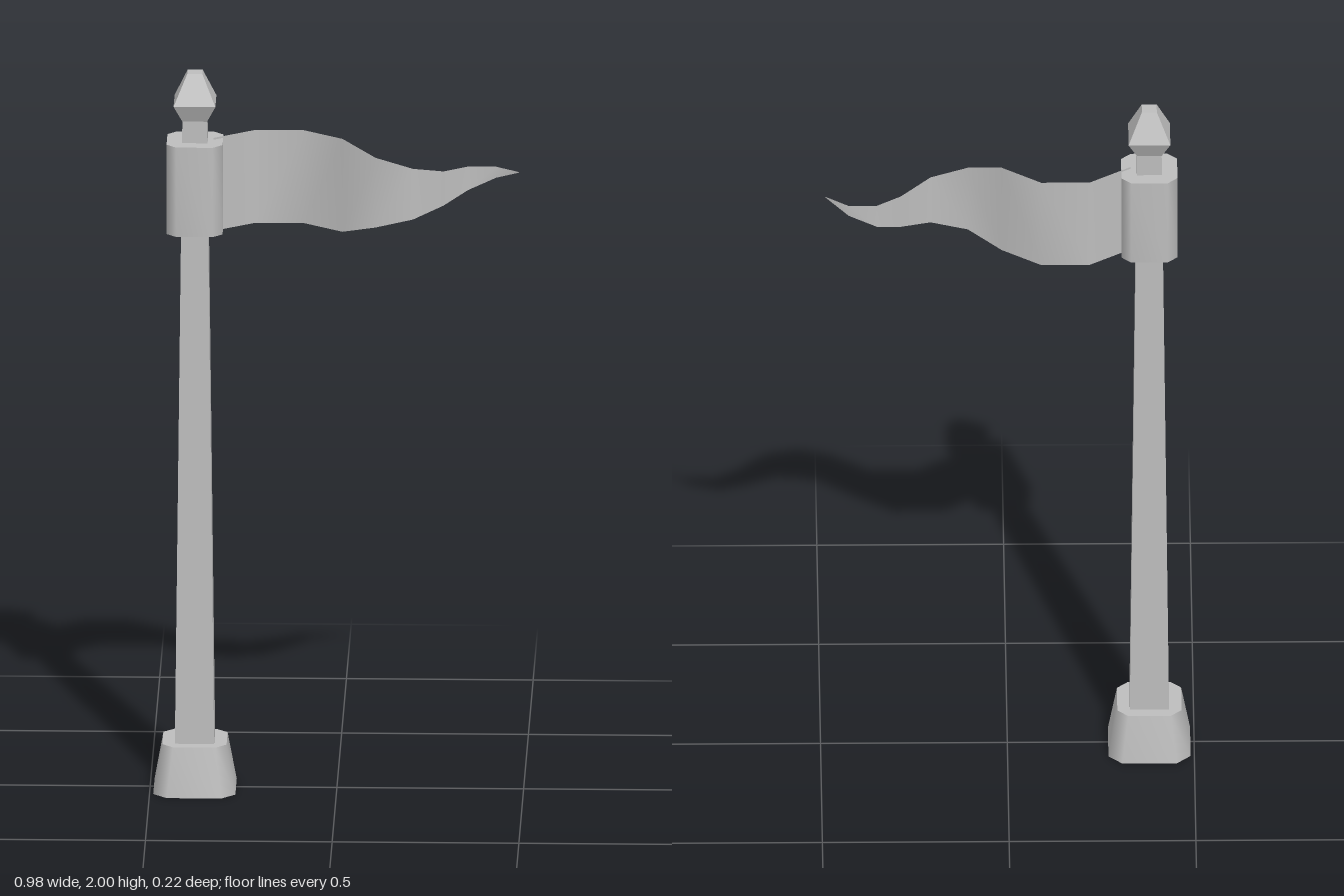
import * as THREE from 'three';

const POLE_X = -0.38;

// Ring of a square, with cut corners where c > 0.
function ring(h, c) {
  const pts = [];
  for (let k = 0; k < 4; k++) {
    const cos = Math.round(Math.cos(k * Math.PI / 2));
    const sin = Math.round(Math.sin(k * Math.PI / 2));
    const corner = c > 0 ? [[h, h - c], [h - c, h]] : [[h, h]];
    for (const [x, z] of corner) pts.push([x * cos - z * sin, x * sin + z * cos]);
  }
  return pts;
}

// Stack of [y, half width, corner cut] levels with flat end caps.
function stack(levels, smooth) {
  const rings = levels.map(([y, h, c]) => ring(h, c).map(([x, z]) => [x, y, z]));
  const n = rings[0].length, pos = [], idx = [];
  rings.forEach(r => r.forEach(p => pos.push(...p)));
  for (let l = 0; l < rings.length - 1; l++) {
    for (let i = 0; i < n; i++) {
      const j = (i + 1) % n, a = l * n + i, b = l * n + j;
      idx.push(a, a + n, b + n, a, b + n, b);
    }
  }
  // the caps have their own corners so that their rims stay sharp
  [rings[0], rings[rings.length - 1]].forEach((r, top) => {
    const s = pos.length / 3;
    r.forEach(p => pos.push(...p));
    for (let i = 1; i < n - 1; i++) {
      if (top) idx.push(s, s + i + 1, s + i);
      else idx.push(s, s + i, s + i + 1);
    }
  });
  let g = new THREE.BufferGeometry();
  g.setAttribute('position', new THREE.Float32BufferAttribute(pos, 3));
  g.setIndex(idx);
  if (!smooth) g = g.toNonIndexed();
  g.computeVertexNormals();
  return g;
}

// Waving sheet from [x, z, bottom, top] columns.
function pennantGeometry(columns) {
  const pos = [], idx = [];
  columns.forEach(([x, z, lo, hi], i) => {
    pos.push(x, lo, z, x, hi, z);
    if (i > 0) {
      const a = 2 * i - 2;
      idx.push(a, a + 2, a + 3, a, a + 3, a + 1);
    }
  });
  const g = new THREE.BufferGeometry();
  g.setAttribute('position', new THREE.Float32BufferAttribute(pos, 3));
  g.setIndex(idx);
  g.computeVertexNormals();
  return g;
}

export function createModel() {
  const group = new THREE.Group();
  const grey = new THREE.MeshStandardMaterial({ color: 0xbcbcbc, side: THREE.DoubleSide });
  grey.name = 'plain grey';

  const add = (name, geometry, x) => {
    const mesh = new THREE.Mesh(geometry, grey);
    mesh.name = name;
    mesh.position.x = x;
    group.add(mesh);
  };

  // Foot, tapered pole and pointed finial
  add('base', stack([[0, 0.11, 0.037], [0.135, 0.086, 0.029]], true), POLE_X);
  add('pole', stack([[0.1, 0.053, 0], [1.875, 0.033, 0]], false), POLE_X);
  add('finial', stack([[1.87, 0.033, 0], [1.918, 0.056, 0], [2, 0.02, 0]], false), POLE_X);

  // Cloth sleeve wrapped round the pole
  add('sleeve', stack([[1.56, 0.075, 0.026], [1.81, 0.075, 0.026]], true), POLE_X);

  // Waving pennant narrowing to a tip
  add('pennant', pennantGeometry([
    [-0.33, 0, 1.555, 1.815],
    [-0.22, -0.077, 1.555, 1.815],
    [-0.09, -0.077, 1.555, 1.815],
    [0.015, 0, 1.555, 1.815],
    [0.105, 0.057, 1.585, 1.78],
    [0.205, 0.057, 1.608, 1.75],
    [0.285, 0, 1.63, 1.726],
    [0.35, -0.047, 1.66, 1.726],
    [0.425, -0.047, 1.695, 1.726],
    [0.487, 0, 1.724, 1.726],
  ]), 0);

  return group;
}
